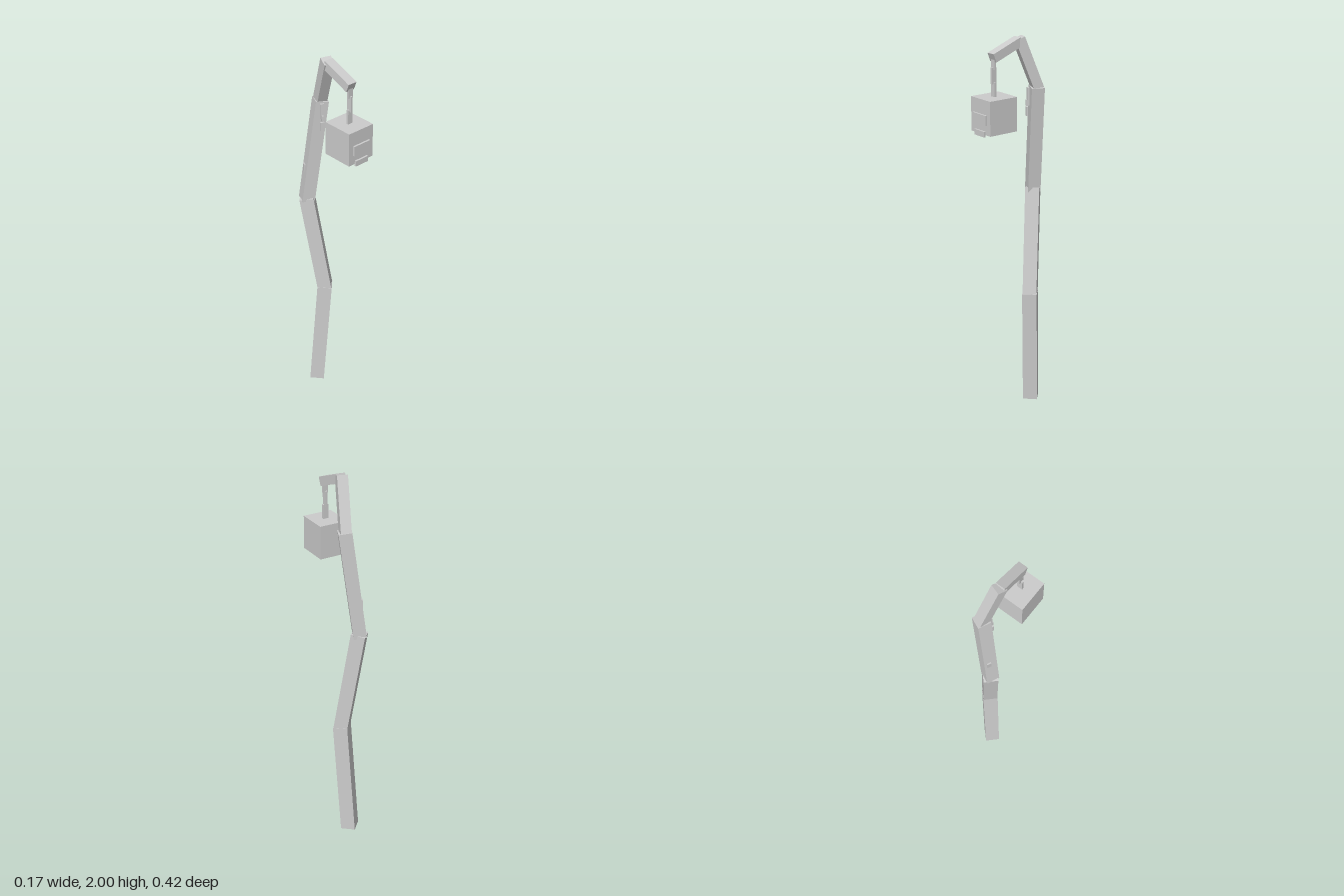
import * as THREE from 'three';

export function createModel() {
  const model = new THREE.Group();
  const stone = new THREE.MeshStandardMaterial({ color: 0xcccccc });
  stone.name = 'plain grey';

  const box = (name, size, pos, yaw = 0) => {
    const mesh = new THREE.Mesh(new THREE.BoxGeometry(...size), stone);
    mesh.name = name;
    mesh.position.set(...pos);
    mesh.rotation.y = THREE.MathUtils.degToRad(yaw);
    model.add(mesh);
    return mesh;
  };

  // Square beam running between two points, turned about its length by yaw
  const beam = (name, from, to, width, depth, yaw) => {
    const a = new THREE.Vector3(...from), b = new THREE.Vector3(...to);
    const mesh = box(name, [width, a.distanceTo(b), depth], [0, 0, 0]);
    const t = THREE.MathUtils.degToRad(yaw);
    const y = b.clone().sub(a).normalize();
    const x = y.clone().cross(new THREE.Vector3(Math.sin(t), 0, Math.cos(t))).normalize();
    const z = x.clone().cross(y);
    mesh.quaternion.setFromRotationMatrix(new THREE.Matrix4().makeBasis(x, y, z));
    mesh.position.copy(a.add(b).multiplyScalar(0.5));
  };

  // Crooked post
  beam('lowerPost', [-0.005, 0.004, -0.125], [0.026, 0.647, -0.092], 0.077, 0.077, 45);
  beam('middlePost', [0.026, 0.64, -0.092], [-0.036, 1.2, -0.157], 0.073, 0.073, 45);
  beam('upperPost', [-0.037, 1.185, -0.157], [0.031, 1.745, -0.123], 0.066, 0.066, -25);
  beam('neck', [0.031, 1.735, -0.128], [-0.003, 1.99, -0.033], 0.053, 0.052, -18);

  // Arm reaching forward, built along +z and tipped down
  const arm = box('arm', [0.049, 0.045, 0.176], [-0.0025, 1.945, 0.047]);
  arm.rotation.x = THREE.MathUtils.degToRad(21);

  // Flat chain links, alternately turned a quarter
  [[1.72, 1.795], [1.785, 1.865], [1.855, 1.92]].forEach(([low, high], i) => {
    box('chainLink', [0.028, high - low, 0.011], [-0.003, (low + high) / 2, 0.12], i % 2 ? 90 : 0);
  });

  // Lantern with a face plate and a lower lip
  box('lantern', [0.153, 0.172, 0.165], [-0.003, 1.636, 0.1175]);
  box('facePlate', [0.102, 0.05, 0.01], [-0.003, 1.625, 0.205]);
  box('lowerLip', [0.078, 0.028, 0.01], [-0.003, 1.554, 0.205]);

  // Broken chain on the front of the upper post, and a peg at the back
  box('looseLink', [0.02, 0.08, 0.009], [0.008, 1.70, -0.086], -25);
  box('looseLink', [0.009, 0.03, 0.018], [0.007, 1.663, -0.084], -25);
  box('looseLink', [0.02, 0.045, 0.009], [0.004, 1.62, -0.082], -25);
  box('peg', [0.01, 0.04, 0.022], [-0.04, 1.37, -0.168], -25);

  return model;
}
